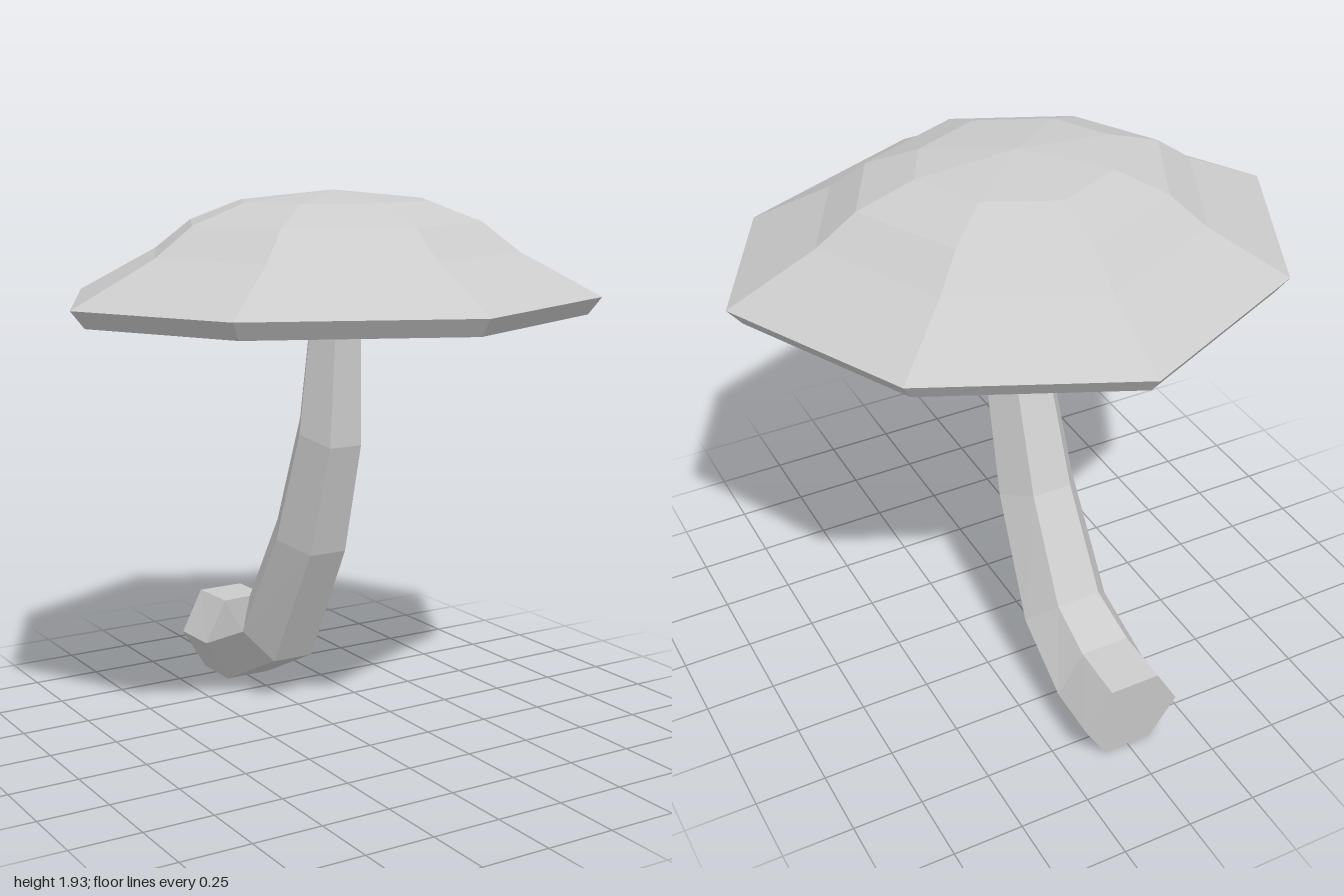
import * as THREE from 'three';

// Skin closed rings of points with faceted quads; the end rings get flat caps.
// Rings run clockwise or anticlockwise so that the outside faces outwards.
function loft(rings) {
  const n = rings[0].length;
  const points = rings.flat();
  const index = [];
  for (let r = 0; r < rings.length - 1; r++) {
    for (let i = 0; i < n; i++) {
      const a = r * n + i, b = r * n + (i + 1) % n;
      index.push(a, b, b + n, a, b + n, a + n);
    }
  }
  const centre = (ring) => ring[0].map((_, k) => ring.reduce((s, p) => s + p[k], 0) / n);
  const first = points.push(centre(rings[0])) - 1;
  const last = points.push(centre(rings[rings.length - 1])) - 1;
  const top = (rings.length - 1) * n;
  for (let i = 0; i < n; i++) {
    const j = (i + 1) % n;
    index.push(first, j, i, last, top + i, top + j);
  }
  const geometry = new THREE.BufferGeometry();
  geometry.setAttribute('position', new THREE.Float32BufferAttribute(points.flat(), 3));
  geometry.setIndex(index);
  const flat = geometry.toNonIndexed();
  flat.computeVertexNormals();
  return flat;
}

export function createModel() {
  const model = new THREE.Group();
  const material = new THREE.MeshStandardMaterial({ color: 0xcccccc, flatShading: true });

  // Cap: an uneven octagon scaled along a profile of [scale, height]
  const half = [[0, 0.91], [0.71, 0.59], [1, 0.05], [0.685, -0.6], [0, -0.915]];
  const outline = [...half, ...half.slice(1, 4).reverse().map(([x, z]) => [-x, z])];
  const profile = [
    [0.09, 1.435], [0.6, 1.497], [0.87, 1.533], [0.92, 1.52], [0.95, 1.52], // underside and lip
    [1, 1.58], [0.695, 1.73], [0.555, 1.83], [0.355, 1.9], [0.002, 1.935], // dome
  ];
  const capRings = profile.map(([s, y]) => outline.map(([x, z]) => [x * s, y, z * s]));
  const cap = new THREE.Mesh(loft(capRings), material);
  cap.name = 'cap';
  model.add(cap);

  // Stem: hexagonal sections given by the inner (back) edge, outer (front) edge
  // and half width: [innerZ, innerY, outerZ, outerY, halfWidth]
  const sections = [
    [-0.87, 0.315, -0.84, 0.003, 0.18],
    [-0.665, 0.32, -0.65, 0.003, 0.177],
    [-0.475, 0.385, -0.29, 0.175, 0.163],
    [-0.27, 0.73, -0.035, 0.64, 0.146],
    [-0.12, 1.13, 0.085, 1.05, 0.127],
    [-0.072, 1.47, 0.1, 1.46, 0.102],
  ];
  const stemRings = sections.map(([iz, iy, oz, oy, w]) => {
    const my = (iy + oy) / 2, mz = (iz + oz) / 2;
    return [
      [-w / 2, oy, oz], [w / 2, oy, oz], [w, my, mz],
      [w / 2, iy, iz], [-w / 2, iy, iz], [-w, my, mz],
    ];
  });
  const stem = new THREE.Mesh(loft(stemRings), material);
  stem.name = 'stem';
  model.add(stem);

  return model;
}
